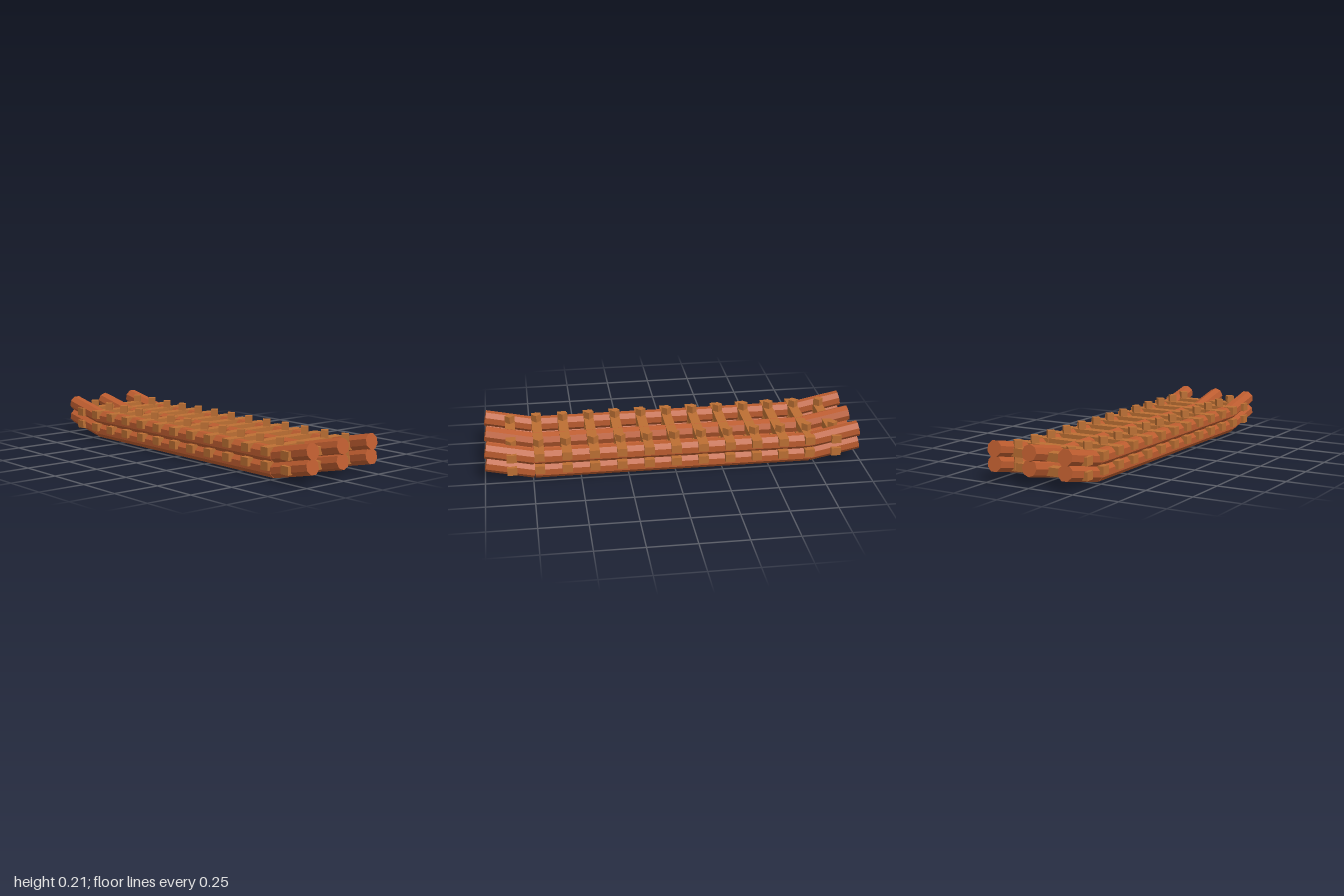
import * as THREE from 'three';

export function createModel() {
  const group = new THREE.Group();
  const logWood = new THREE.MeshStandardMaterial({ color: 0xbc5c2f, flatShading: true });
  logWood.name = 'reddish log wood';
  const slatWood = new THREE.MeshStandardMaterial({ color: 0xbc6f33, flatShading: true });
  slatWood.name = 'light slat wood';

  const up = new THREE.Vector3(0, 1, 0);

  // Eight-sided log running between two points
  function addLog(name, from, to, turn) {
    const dir = to.clone().sub(from);
    const geo = new THREE.CylinderGeometry(0.0425, 0.0425, dir.length(), 8);
    geo.rotateY(turn);
    const log = new THREE.Mesh(geo, logWood);
    log.name = name;
    log.position.copy(from).add(to).multiplyScalar(0.5);
    log.quaternion.setFromUnitVectors(up, dir.normalize());
    group.add(log);
  }

  // Three rows of doubled logs: a straight run with both ends tilted up
  for (const x of [-0.204, 0, 0.204]) {
    const turn = x === 0 ? 0 : Math.PI / 8;
    for (const y of [0.0425, 0.117]) {
      const front = new THREE.Vector3(x, y, 0.74);
      const back = new THREE.Vector3(x, y, -0.725);
      addLog('straightLog', back, front, turn);
      addLog('frontLog', front, new THREE.Vector3(x, y + 0.054, 0.991), turn);
      addLog('backLog', back, new THREE.Vector3(x, y + 0.054, -0.991), turn);
    }
  }

  // Cross slats in two layers, pinned by square pegs turned on edge
  const slatGeo = new THREE.BoxGeometry(0.522, 0.043, 0.052);
  const pegGeo = new THREE.CylinderGeometry(0.027, 0.027, 0.145, 4);
  for (let i = 0; i < 13; i++) {
    const z = -0.863 + i * 0.1434;
    for (const y of [0.065, 0.137]) {
      const slat = new THREE.Mesh(slatGeo, slatWood);
      slat.name = 'crossSlat';
      slat.position.set(0, y, z);
      group.add(slat);
    }
    for (const side of [-1, 1]) {
      const peg = new THREE.Mesh(pegGeo, slatWood);
      peg.name = 'peg';
      peg.position.set(side * 0.156, 0.1245, z);
      group.add(peg);
    }
  }
  return group;
}
